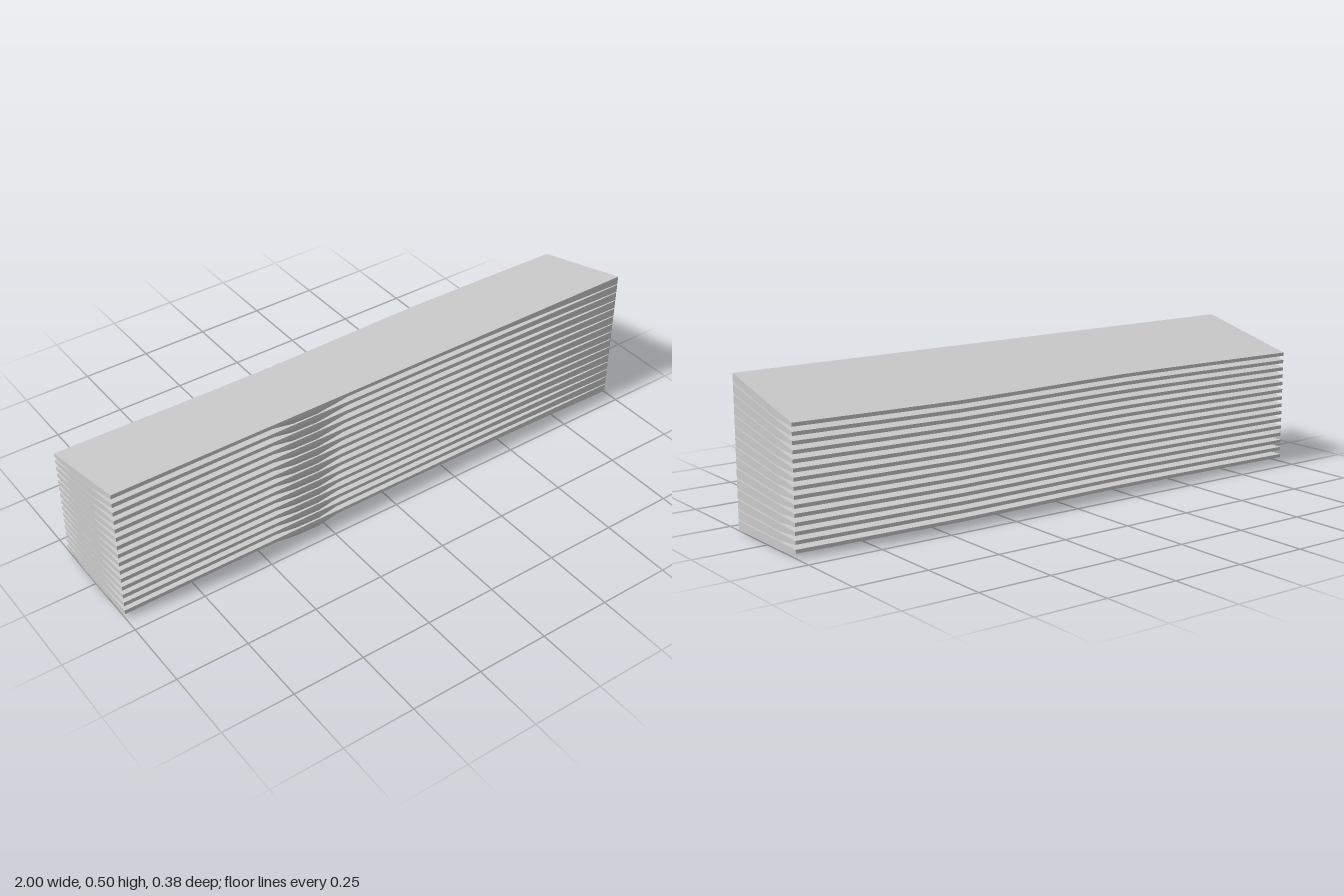
import * as THREE from 'three';

const COUNT = 15;      // stacked slats
const FRONT = 0.19;    // straight front edge
const KINK = -0.08;    // where the underside starts rising to the back lip
const BACK_LIP = 0.012;

// Stations along the length: x, back edge z, underside ridge z, front lip thickness
const STATIONS = [
  [-1.0, -0.190, 0.050, 0.015],
  [-0.75, -0.184, 0.075, 0.014],
  [-0.55, -0.179, 0.110, 0.013],
  [-0.44, -0.177, 0.155, 0.013],
  [-0.36, -0.176, 0.182, 0.014],
  [-0.27, -0.175, 0.185, 0.014],
  [-0.12, -0.177, 0.160, 0.013],
  [0.2, -0.186, 0.100, 0.013],
  [0.42, -0.190, 0.070, 0.016],
  [0.7, -0.184, 0.040, 0.022],
  [1.0, -0.175, 0.000, 0.030],
];

// Height of the k-th layer plane: the layers fan out towards the front
const layer = (k, z) => k * THREE.MathUtils.lerp(0.0333333, 0.027, (FRONT - z) / 0.38);

// Cross-section of slat k, counter-clockwise seen from +x
function section(k, [x, back, ridge, lip]) {
  const gap = k === 1 ? 0 : 0.001;
  const end = 0.002 * THREE.MathUtils.smoothstep(x, 0.2, 1);
  const under = (z) => layer(k - 1, z) + gap + end;
  return [
    [FRONT, layer(k, FRONT)],
    [FRONT, Math.max(layer(k, FRONT) - lip, under(FRONT))],
    [ridge, under(ridge)],
    [KINK, under(KINK)],
    [back, layer(k, back) - BACK_LIP],
    [back, layer(k, back)],
  ].map(([z, y]) => new THREE.Vector3(x, y, z));
}

// Loft the cross-sections into a closed, faceted solid
function slatGeometry(k) {
  const rings = STATIONS.map((s) => section(k, s));
  const pts = [];
  const n = rings[0].length;
  for (let s = 0; s < rings.length - 1; s++) {
    const a = rings[s], b = rings[s + 1];
    for (let j = 0; j < n; j++) {
      const m = (j + 1) % n;
      pts.push(a[j], a[m], b[m], a[j], b[m], b[j]);
    }
  }
  // End caps
  const first = rings[0], last = rings[rings.length - 1];
  for (let j = 1; j < n - 1; j++) {
    pts.push(last[0], last[j], last[j + 1]);
    pts.push(first[0], first[j + 1], first[j]);
  }
  const geometry = new THREE.BufferGeometry().setFromPoints(pts);
  geometry.computeVertexNormals();
  return geometry;
}

export function createModel() {
  const group = new THREE.Group();
  group.name = 'slattedBlock';
  const material = new THREE.MeshStandardMaterial({ color: 0xcccccc, flatShading: true });
  for (let k = 1; k <= COUNT; k++) {
    const slat = new THREE.Mesh(slatGeometry(k), material);
    slat.name = `slat${k}`;
    group.add(slat);
  }
  return group;
}
